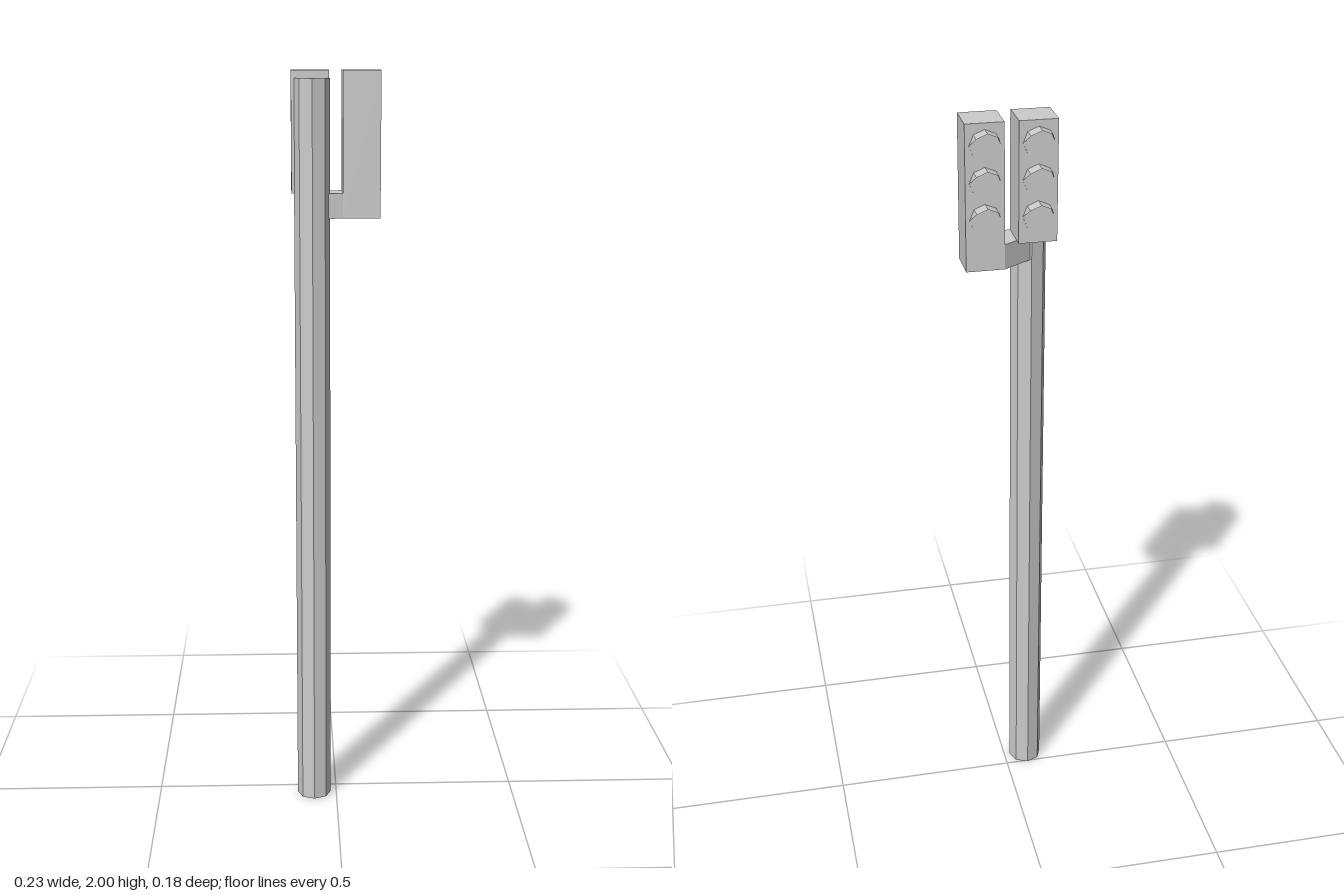
import * as THREE from 'three';

const grey = new THREE.MeshStandardMaterial({ color: 0xcccccc, flatShading: true });
const greyThin = new THREE.MeshStandardMaterial({ color: 0xcccccc, flatShading: true, side: THREE.DoubleSide });

const LENS_R = 0.039;
const BACK_Z = -0.053;

function add(parent, name, geometry, x = 0, y = 0, z = 0, material = grey) {
  const mesh = new THREE.Mesh(geometry, material);
  mesh.name = name;
  mesh.position.set(x, y, z);
  parent.add(mesh);
  return mesh;
}

// Upper half of an octagonal tube, cut back so the sides taper to the housing
function hoodGeometry(depth) {
  const positions = [], index = [];
  for (let i = 0; i <= 4; i++) {
    const a = (i * Math.PI) / 4;
    const x = Math.cos(a) * LENS_R, y = Math.sin(a) * LENS_R;
    const reach = i === 0 || i === 4 ? 0 : -depth;
    positions.push(x, y, 0, x, y, reach);
    if (i < 4) {
      const k = i * 2;
      index.push(k, k + 2, k + 1, k + 1, k + 2, k + 3);
    }
  }
  const geometry = new THREE.BufferGeometry();
  geometry.setAttribute('position', new THREE.Float32BufferAttribute(positions, 3));
  geometry.setIndex(index);
  geometry.computeVertexNormals();
  return geometry;
}

// Signal head: a box housing with three hooded lenses on its back side
function signalHead(name, x, bottom) {
  const head = new THREE.Group();
  head.name = name;
  const height = 2 - bottom;
  add(head, 'housing', new THREE.BoxGeometry(0.098, height, 0.098), x, bottom + height / 2, -0.004);
  for (let i = 0; i < 3; i++) {
    const y = 1.945 - i * 0.093;
    const lens = add(head, 'lens', new THREE.CylinderGeometry(LENS_R, LENS_R, 0.004, 8), x, y, BACK_Z - 0.001);
    lens.rotation.x = Math.PI / 2;
    add(head, 'hood', hoodGeometry(0.038), x, y, BACK_Z, greyThin);
  }
  return head;
}

export function createModel() {
  const model = new THREE.Group();
  model.name = 'trafficSignal';

  // Octagonal pole
  add(model, 'pole', new THREE.CylinderGeometry(0.0465, 0.0465, 1.98, 8), -0.0625, 0.99, 0.042);

  // Two heads side by side, the outer one longer
  model.add(signalHead('poleHead', -0.067, 1.69));
  model.add(signalHead('outerHead', 0.066, 1.625));

  // Tapered bracket joining the outer head to the pole
  const plan = new THREE.Shape([
    [0.017, -0.053], [0.017, 0.045], [-0.04, 0.055], [-0.06, -0.002],
  ].map(([x, z]) => new THREE.Vector2(x, -z)));
  const bracket = new THREE.ExtrudeGeometry(plan, { depth: 0.065, bevelEnabled: false });
  bracket.rotateX(-Math.PI / 2);
  add(model, 'bracket', bracket, 0, 1.625, 0);

  return model;
}
